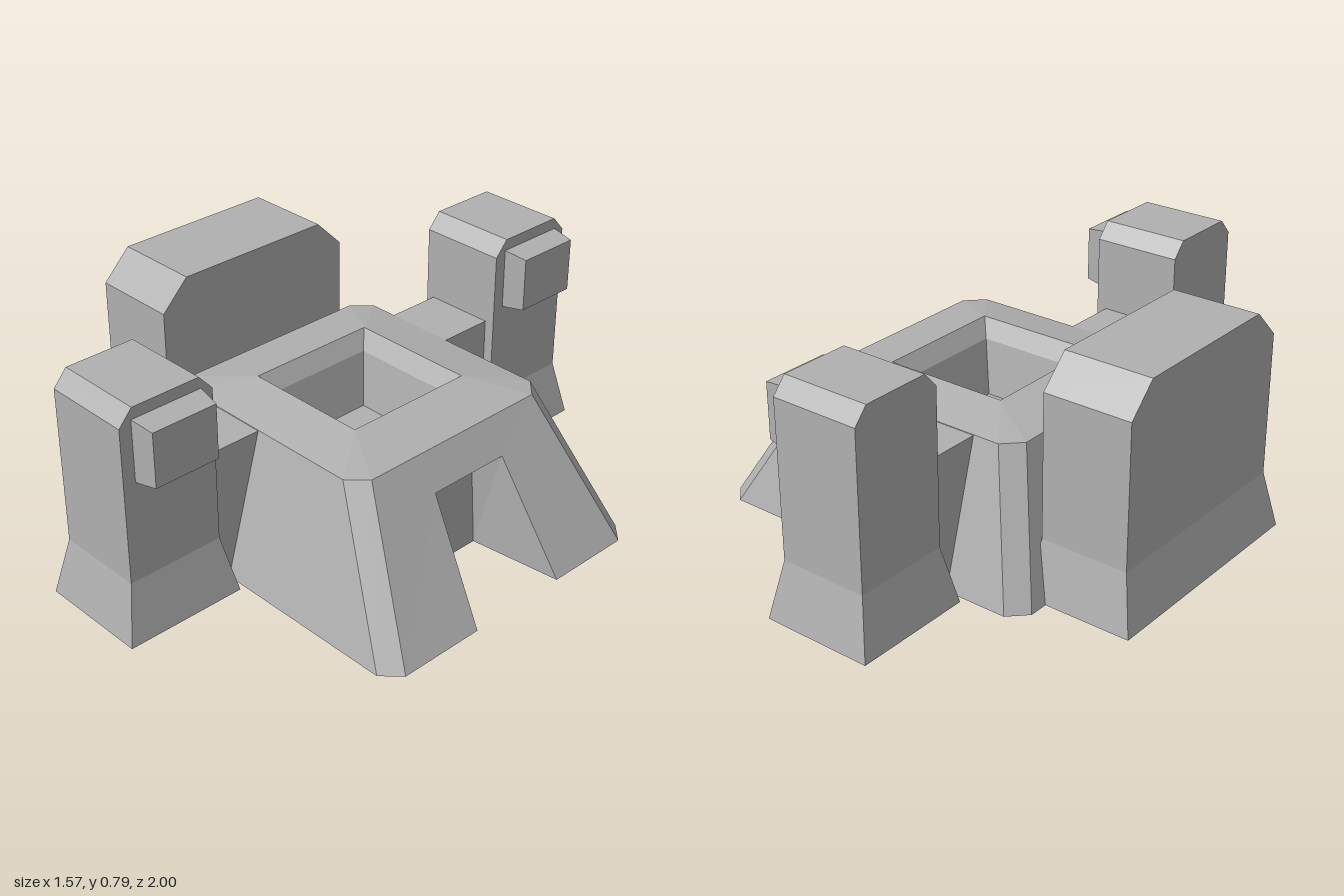
import * as THREE from 'three';

// Flat-faced geometry from a list of convex polygons
function fromFaces(faces) {
  const pos = [];
  for (const f of faces)
    for (let i = 1; i < f.length - 1; i++) pos.push(...f[0], ...f[i], ...f[i + 1]);
  const g = new THREE.BufferGeometry();
  g.setAttribute('position', new THREE.Float32BufferAttribute(pos, 3));
  g.computeVertexNormals();
  return g;
}

// Rectangle with cut corners at height y, counterclockwise from above, starting with the +x edge
function octagon(y, x0, x1, hz, c) {
  return [
    [x1, y, hz - c], [x1, y, -hz + c], [x1 - c, y, -hz], [x0 + c, y, -hz],
    [x0, y, -hz + c], [x0, y, hz - c], [x0 + c, y, hz], [x1 - c, y, hz],
  ];
}

function rect(y, x0, x1, zc, hz) {
  return [[x1, y, zc + hz], [x1, y, zc - hz], [x0, y, zc - hz], [x0, y, zc + hz]];
}

// Side faces between successive rings
function sides(rings) {
  const faces = [];
  for (let k = 0; k < rings.length - 1; k++) {
    const a = rings[k], b = rings[k + 1], n = a.length;
    for (let i = 0; i < n; i++) {
      const j = (i + 1) % n;
      faces.push([a[i], a[j], b[j], b[i]]);
    }
  }
  return faces;
}

function solid(rings) {
  return fromFaces([...sides(rings), rings.at(-1), [...rings[0]].reverse()]);
}

export function createModel() {
  const model = new THREE.Group();
  model.name = 'bunker';
  const stone = new THREE.MeshStandardMaterial({ color: 0xb0b0b0, side: THREE.DoubleSide });
  stone.name = 'grey stone';
  const add = (name, geometry, parent = model) => {
    const m = new THREE.Mesh(geometry, stone);
    m.name = name;
    parent.add(m);
    return m;
  };

  // Sloped hall: walls, shallow roof and funnel of the roof pit; the +x wall is made with the doorway
  const base = octagon(0, -0.48, 0.78, 0.555, 0.06);
  const eaves = octagon(0.488, -0.35, 0.49, 0.417, 0.06);
  const hall = sides([
    base, eaves,
    octagon(0.522, -0.155, 0.293, 0.237, 0),
    octagon(0.46, -0.12, 0.257, 0.2, 0),
    octagon(0.27, -0.09, 0.224, 0.173, 0),
  ]).slice(1);
  add('hall', fromFaces(hall));

  // Doorway wall: strips around the opening
  const outer = [[0.78, 0, 0.185], [0.555, 0.377, 0.15], [0.555, 0.377, -0.15], [0.78, 0, -0.185]];
  const inner = [[0.455, 0, 0.148], [0.455, 0.29, 0.125], [0.455, 0.29, -0.125], [0.455, 0, -0.148]];
  add('doorwayWall', fromFaces([
    [base[0], outer[0], outer[1], eaves[0]],
    [eaves[0], outer[1], outer[2], eaves[1]],
    [outer[3], base[1], eaves[1], outer[2]],
  ]));

  // Recessed door with jambs and sloping lintel
  const recess = [0, 1, 2].map((i) => [outer[i], inner[i], inner[i + 1], outer[i + 1]]);
  add('doorRecess', fromFaces([...recess, [...inner].reverse()]));

  // Block under the roof pit, its top is the pit floor
  const pit = add('pitFloor', new THREE.BoxGeometry(0.48, 0.17, 0.46));
  pit.position.set(0.07, 0.185, 0);

  // Broad rear block
  add('rearBlock', solid([
    rect(0, -0.785, -0.395, 0, 0.427),
    rect(0.2, -0.745, -0.435, 0, 0.388),
    rect(0.692, -0.745, -0.435, 0, 0.388),
    rect(0.792, -0.745, -0.435, 0, 0.288),
  ]));

  // Two side towers, each with a projecting box and a wall joining it to the hall
  for (const s of [1, -1]) {
    const tower = new THREE.Group();
    tower.name = s > 0 ? 'frontTower' : 'backTower';
    model.add(tower);
    const zc = s * 0.787;
    add('towerBody', solid([
      rect(0, -0.265, 0.127, zc, 0.213),
      rect(0.2, -0.225, 0.088, zc, 0.17),
      rect(0.738, -0.225, 0.088, zc, 0.17),
      rect(0.792, -0.225, 0.088, zc, 0.122),
    ]), tower);

    const box = add('towerBox', solid([
      rect(0.08, -0.754, -0.54, zc, 0.128),
      rect(0.171, -0.741, -0.554, zc, 0.116),
    ]), tower);
    box.rotation.z = -Math.PI / 2;

    // Wall profile in z and y, extruded along x
    const profile = new THREE.Shape([
      [0.555, 0], [0.63, 0], [0.63, 0.486], [0.417, 0.486],
    ].map(([z, y]) => new THREE.Vector2(-s * z, y)));
    const wall = new THREE.ExtrudeGeometry(profile, { depth: 0.247, bevelEnabled: false });
    wall.rotateY(Math.PI / 2).translate(-0.195, 0, 0);
    add('joiningWall', wall, tower);
  }
  return model;
}
